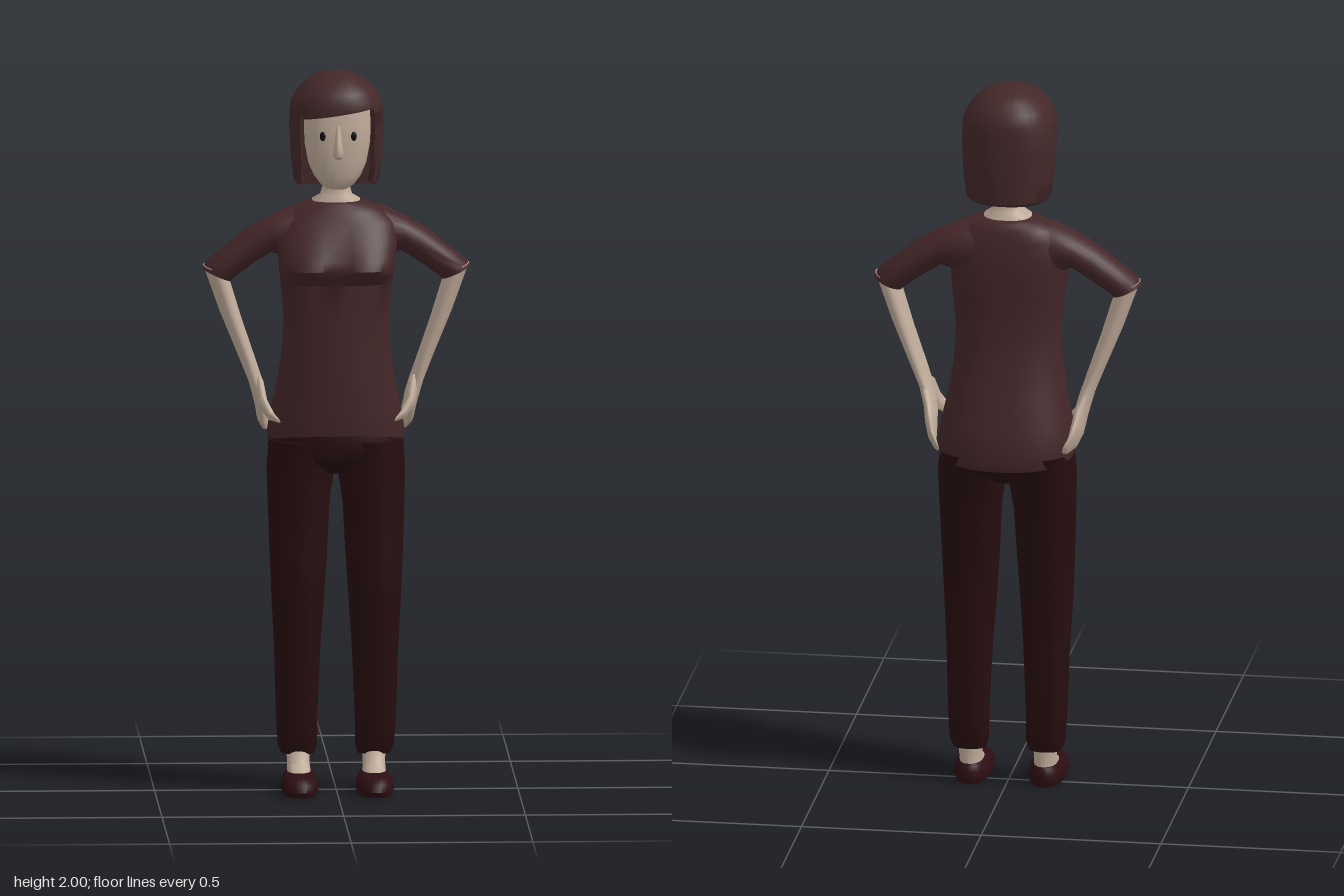
import * as THREE from 'three';
import { toCreasedNormals } from 'three/addons/utils/BufferGeometryUtils.js';

const mat = (name, color) => Object.assign(new THREE.MeshStandardMaterial({ color }), { name });

// Closed skin over a list of rings (arrays of [x, y, z]); winding is made outward.
function loft(rings, crease = 0.9) {
  const n = rings[0].length, pos = rings.flat(2), idx = [];
  for (let r = 0; r < rings.length - 1; r++) {
    for (let i = 0; i < n; i++) {
      const a = r * n + i, b = r * n + (i + 1) % n;
      idx.push(a, a + n, b, b, a + n, b + n);
    }
  }
  for (const [r, flip] of [[0, false], [rings.length - 1, true]]) {
    const c = pos.length / 3;
    for (let k = 0; k < 3; k++) pos.push(rings[r].reduce((s, p) => s + p[k], 0) / n);
    for (let i = 0; i < n; i++) {
      const a = r * n + i, b = r * n + (i + 1) % n;
      idx.push(c, ...(flip ? [b, a] : [a, b]));
    }
  }
  let volume = 0;
  const v = i => new THREE.Vector3().fromArray(pos, i * 3);
  for (let i = 0; i < idx.length; i += 3) volume += v(idx[i]).dot(v(idx[i + 1]).cross(v(idx[i + 2])));
  if (volume < 0) idx.reverse();
  const g = new THREE.BufferGeometry();
  g.setAttribute('position', new THREE.Float32BufferAttribute(pos, 3));
  g.setIndex(idx);
  return toCreasedNormals(g, crease);
}

const pw = (c, e) => Math.sign(c) * Math.pow(Math.abs(c), 2 / e);

// Horizontal ring between two x and two z limits; e sets its squareness.
function slab(y, x0, x1, zf, zb, e = 2.3, n = 28) {
  return Array.from({ length: n }, (_, i) => {
    const t = (i / n) * Math.PI * 2;
    return [(x0 + x1) / 2 + (x1 - x0) / 2 * pw(Math.cos(t), e), y,
      (zf + zb) / 2 + (zf - zb) / 2 * pw(Math.sin(t), e)];
  });
}

// Free ring from a centre and two half-axis vectors.
function ring(c, u, v, n = 18) {
  return Array.from({ length: n }, (_, i) => {
    const t = (i / n) * Math.PI * 2;
    return c.map((k, j) => k + u[j] * Math.cos(t) + v[j] * Math.sin(t));
  });
}

export function createModel() {
  const skin = mat('skin', 0xbfab99), shirt = mat('shirt', 0x432628), hair = mat('hair', 0x432829);
  const pants = mat('trousers', 0x260d0f), shoe = mat('shoes', 0x2c0e13), eye = mat('eyes', 0x0c0808);
  const model = new THREE.Group();
  model.name = 'standingWoman';
  const add = (name, geometry, material) => {
    const m = new THREE.Mesh(geometry, material);
    m.name = name;
    model.add(m);
    return m;
  };

  // Shirt body: y, half width, front z, back z, squareness, bust cleft, hem tilt
  const torso = [
    [0.975, 0.188, 0.104, -0.168, 2.3, 0, 0.2], [1.0, 0.19, 0.106, -0.175, 2.3, 0, 0.16],
    [1.06, 0.18, 0.108, -0.16, 2.3, 0, 0.05], [1.14, 0.162, 0.11, -0.138, 2.3, 0, 0], [1.23, 0.149, 0.11, -0.115, 2.3, 0, 0],
    [1.32, 0.145, 0.11, -0.104, 2.4, 0, 0], [1.415, 0.154, 0.11, -0.105, 2.6, 0, 0],
    [1.438, 0.157, 0.15, -0.105, 3, 0.016, 0], [1.46, 0.16, 0.167, -0.105, 3, 0.022, 0],
    [1.485, 0.162, 0.157, -0.106, 2.9, 0.018, 0], [1.53, 0.168, 0.122, -0.106, 2.6, 0.008, 0],
    [1.58, 0.165, 0.085, -0.1, 2.4, 0, 0], [1.61, 0.135, 0.07, -0.095, 2.3, 0, 0],
    [1.632, 0.095, 0.058, -0.087, 2.2, 0, 0], [1.638, 0.072, 0.048, -0.075, 2.1, 0, 0],
  ];
  add('shirtBody', loft(torso.map(([y, w, f, b, e, cleft, tilt]) =>
    slab(y, -w, w, f, b, e, 44).map(([x, h, z]) =>
      [x, h + tilt * z, z > 0.05 ? z - cleft * Math.exp(-((x / 0.045) ** 2)) : z]))), shirt);

  // Trouser hips
  add('trouserHips', loft([
    slab(1.01, -0.17, 0.17, 0.09, -0.14), slab(0.955, -0.188, 0.188, 0.098, -0.162),
    slab(0.92, -0.165, 0.165, 0.09, -0.14), slab(0.885, -0.07, 0.07, 0.05, -0.09),
  ]), pants);

  for (const [side, s] of [['left', 1], ['right', -1]]) {
    const mir = (rings, dz = 0) => rings.map(r => r.map(([x, y, z]) => [x * s, y, z + dz]));
    const limb = (name, rows, material, e) =>
      add(side + name, loft(mir(rows.map(r => slab(...r, e)))), material);

    // Leg, ankle and slip-on shoe: y, inner x, outer x, front z, back z
    limb('TrouserLeg', [
      [0.975, 0.003, 0.184, 0.094, -0.155], [0.9, 0.003, 0.191, 0.085, -0.13], [0.8, 0.018, 0.188, 0.08, -0.106],
      [0.65, 0.026, 0.183, 0.08, -0.085], [0.53, 0.034, 0.178, 0.078, -0.075], [0.4, 0.043, 0.171, 0.053, -0.07],
      [0.2, 0.052, 0.165, 0.033, -0.07], [0.125, 0.052, 0.16, 0.026, -0.066], [0.1, 0.06, 0.15, 0.015, -0.056],
    ], pants);
    limb('Foot', [
      [0.035, 0.068, 0.138, 0.105, -0.054], [0.055, 0.071, 0.136, 0.08, -0.053],
      [0.075, 0.073, 0.135, 0.03, -0.051], [0.13, 0.071, 0.137, 0.012, -0.052],
    ], skin);
    limb('Shoe', [
      [0, 0.056, 0.15, 0.168, -0.06], [0.015, 0.051, 0.156, 0.178, -0.066], [0.035, 0.054, 0.153, 0.17, -0.065],
      [0.05, 0.062, 0.146, 0.135, -0.061], [0.056, 0.068, 0.14, 0.105, -0.057],
    ], shoe, 2.4);

    // Sleeve: upper and lower edge points, centre z and half depth
    const dz = -0.01 * s;
    const sleeve = [
      [0.07, 1.63, 0.1, 1.47, -0.018, 0.07], [0.13, 1.622, 0.15, 1.485, -0.018, 0.073], [0.19, 1.593, 0.18, 1.495, -0.016, 0.067],
      [0.25, 1.557, 0.22, 1.47, -0.015, 0.061], [0.32, 1.502, 0.262, 1.44, -0.014, 0.057],
      [0.358, 1.47, 0.283, 1.425, -0.013, 0.053], [0.37, 1.452, 0.291, 1.416, -0.013, 0.05],
    ].map(([ax, ay, bx, by, z, d]) =>
      ring([(ax + bx) / 2, (ay + by) / 2, z], [(ax - bx) / 2, (ay - by) / 2, 0], [0, 0, d], 24));
    add(side + 'Sleeve', loft(mir(sleeve, dz)), shirt);

    // Forearm running into a flat hand on the hip
    add(side + 'ForearmAndHand', loft(mir([
      ring([0.333, 1.45, -0.012], [0.034, 0.012, 0], [0, 0, 0.047]),
      ring([0.29, 1.32, -0.017], [0.03, 0.01, 0], [0, 0, 0.046]),
      ring([0.245, 1.2, -0.021], [0.025, 0.008, 0], [0, 0, 0.046]),
      ring([0.221, 1.135, -0.025], [0.021, 0.004, 0], [0, -0.01, 0.05]),
      ring([0.208, 1.085, -0.045], [0.018, 0, 0], [0, -0.025, 0.058]),
      ring([0.202, 1.045, -0.08], [0.016, 0, 0.004], [0, -0.034, 0.048]),
      ring([0.194, 1.02, -0.115], [0.012, 0, 0.005], [0, -0.029, 0.033]),
      ring([0.179, 1.004, -0.142], [0.008, 0, 0.004], [0, -0.017, 0.016]),
      ring([0.173, 1.0, -0.15], [0.003, 0, 0.001], [0, -0.007, 0.006]),
    ], dz)), skin);
    add(side + 'Thumb', loft(mir([
      ring([0.214, 1.125, -0.005], [0.015, 0, 0], [0, 0.03, 0.02], 12),
      ring([0.203, 1.08, 0.037], [0.013, 0, 0.003], [0, 0.021, 0.017], 12),
      ring([0.182, 1.05, 0.065], [0.01, 0, 0.004], [0, 0.014, 0.01], 12),
      ring([0.16, 1.037, 0.083], [0.003, 0, 0.002], [0, 0.004, 0.003], 12),
    ], dz)), skin);

    // Eye
    const e = add(side + 'Eye', new THREE.SphereGeometry(1, 14, 10), eye);
    e.scale.set(0.008, 0.013, 0.004);
    e.position.set(0.043 * s, 1.836, 0.138);
    e.rotation.y = 0.25 * s;
  }

  // Neck, face and nose
  const stack = (name, rows, material) =>
    add(name, loft(rows.map(([y, w, f, b, e]) => slab(y, -w, w, f, b, e))), material);
  stack('neck', [
    [1.6, 0.072, 0.045, -0.07], [1.642, 0.066, 0.043, -0.068], [1.655, 0.044, 0.036, -0.054],
    [1.68, 0.037, 0.034, -0.05], [1.76, 0.04, 0.04, -0.05],
  ], skin);
  stack('face', [
    [1.684, 0.028, 0.112, 0.03], [1.695, 0.046, 0.127, 0.01], [1.72, 0.065, 0.135, 0],
    [1.755, 0.08, 0.14, 0], [1.81, 0.09, 0.143, 0], [1.86, 0.092, 0.143, 0], [1.93, 0.088, 0.13, 0],
  ], skin);
  stack('nose', [
    [1.865, 0.006, 0.144, 0.12, 2], [1.82, 0.01, 0.161, 0.12, 2], [1.79, 0.015, 0.175, 0.12, 2],
    [1.782, 0.014, 0.173, 0.12, 2], [1.773, 0.009, 0.152, 0.12, 2],
  ], skin);

  // Bobbed hair: y, half width, front z, back z, face opening, fringe slant
  const bob = [
    [1.688, 0.108, 0.11, -0.1, 1, 0], [1.697, 0.117, 0.122, -0.112, 1, 0], [1.76, 0.125, 0.137, -0.116, 1, 0],
    [1.85, 0.13, 0.143, -0.117, 1, 0], [1.893, 0.129, 0.155, -0.116, 1, 0.15], [1.896, 0.129, 0.163, -0.116, 0, 0.15],
    [1.92, 0.125, 0.165, -0.114, 0, 0.06], [1.95, 0.108, 0.15, -0.105, 0, 0], [1.975, 0.084, 0.127, -0.085, 0, 0],
    [1.992, 0.052, 0.092, -0.054, 0, 0], [2.0, 0.018, 0.045, -0.01, 0, 0],
  ];
  add('hair', loft(bob.map(([y, w, f, b, open, slant]) =>
    slab(y, -w, w, f, b, 2.25, 64).map(([x, h, z]) => {
      const front = z > 0.04 && Math.abs(x) < 0.099;
      return [x, front ? h + slant * x : h, front && open ? 0.03 : z];
    })), 0.8), hair);

  return model;
}
